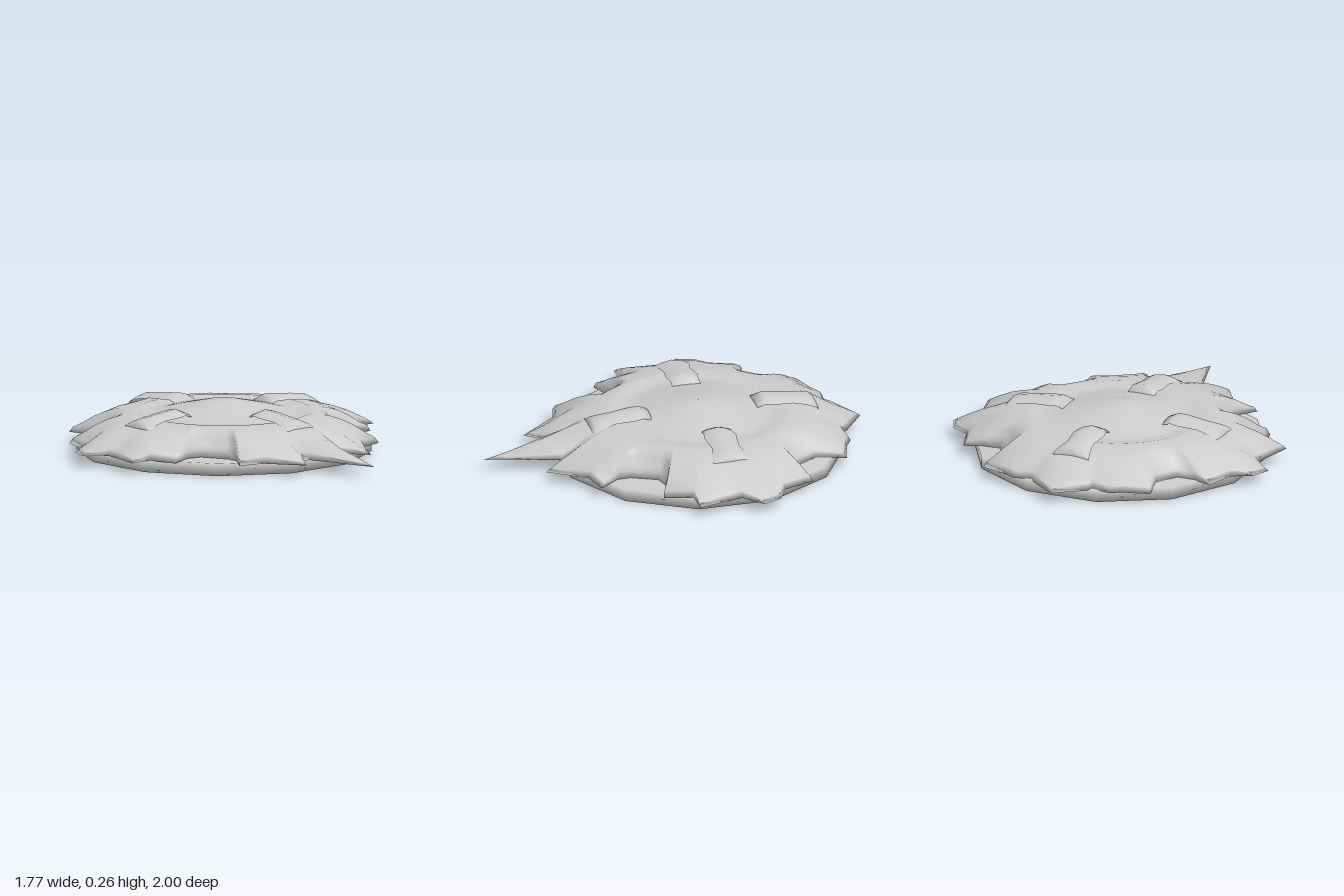
import * as THREE from 'three';
import { mergeVertices } from 'three/addons/utils/BufferGeometryUtils.js';

const material = new THREE.MeshStandardMaterial({ color: 0xcccccc, side: THREE.DoubleSide });
const CENTRE_Z = -0.14;

// Skins rows of [x, y, z] points; closed joins the last column to the first.
function skin(rows, closed, name) {
  const n = rows[0].length, index = [];
  for (let r = 0; r < rows.length - 1; r++) {
    for (let i = 0; i < (closed ? n : n - 1); i++) {
      const j = (i + 1) % n;
      const a = r * n + i, b = r * n + j, c = a + n, d = b + n;
      index.push(a, b, c, b, d, c);
    }
  }
  const geometry = new THREE.BufferGeometry();
  geometry.setAttribute('position', new THREE.Float32BufferAttribute(rows.flat(2), 3));
  geometry.setIndex(index);
  geometry.computeVertexNormals();
  const mesh = new THREE.Mesh(geometry, material);
  mesh.name = name;
  return mesh;
}

// Ragged shell: a low dome with a groove, flaring out to a spiky outline.
function createShell() {
  // Outline (x, z) of the +x half, from the back tip to the front spike.
  const half = [
    [0, -1], [0.15, -0.89], [0.17, -0.86], [0.27, -0.875], [0.33, -0.84], [0.47, -0.8],
    [0.43, -0.65], [0.5, -0.53], [0.6, -0.53], [0.69, -0.56], [0.745, -0.4], [0.84, -0.35],
    [0.885, -0.25], [0.785, -0.16], [0.8, -0.09], [0.84, 0.08], [0.72, 0.08], [0.68, 0.23],
    [0.55, 0.18], [0.47, 0.2], [0.41, 0.33], [0.41, 0.4], [0.485, 0.505], [0.35, 0.54],
    [0.225, 0.73], [0.14, 0.61], [0.105, 0.63], [0, 1],
  ];
  const mirrored = half.slice(1, -1).reverse().map(([x, z]) => [-x, z]);
  const polar = [...half, ...mirrored].map(([x, z]) => ({
    r: Math.hypot(x, z - CENTRE_Z), a: Math.atan2(z - CENTRE_Z, x),
  }));
  const point = (r, y, a) => [r * Math.cos(a), y, CENTRE_Z + r * Math.sin(a)];
  const ring = ([r, y]) => polar.map((p) => point(r, y, p.a));

  // Round middle: dome, groove and rim.
  const rows = [[0.001, 0.262], [0.08, 0.26], [0.28, 0.215], [0.35, 0.197], [0.4, 0.197],
    [0.45, 0.208], [0.48, 0.203]].map(ring);

  // Flare: long spikes run straight, short notches drop steeply at the edge.
  for (const t of [0.2, 0.4, 0.6, 0.8, 0.94, 1]) {
    rows.push(polar.map((p) => {
      const power = THREE.MathUtils.clamp(1.8 - (p.r - 0.88) * 2.4, 1.2, 2.6);
      const lip = t === 0.94 ? THREE.MathUtils.clamp((0.88 - p.r) * 0.15, 0, 0.02) : 0;
      return point(0.48 + (p.r - 0.48) * t, 0.203 - 0.141 * t ** power + lip, p.a);
    }));
  }
  // Flat underside
  rows.push(ring([0.5, 0.062]));
  return skin(rows, true, 'spikyShell');
}

// Saddle-shaped clamp lying along +z from the middle.
function createClamp() {
  // Distance from the middle, half width, height, drop at the edges
  const sections = [
    [0.28, 0.075, 0.232, 0.02], [0.325, 0.075, 0.252, 0.028], [0.37, 0.085, 0.247, 0.026],
    [0.47, 0.072, 0.236, 0.024], [0.54, 0.085, 0.226, 0.026], [0.575, 0.096, 0.219, 0.03],
    [0.597, 0.1, 0.202, 0.022],
  ];
  const rows = sections.map(([s, w, y, drop]) =>
    [1, 0.6, 0, -0.6, -1].map((k) => [k * w, y - drop * k * k, s]));
  // Both ends turn down into the shell.
  const ends = [rows[0], rows.at(-1)].map((row) => row.map(([x, , z]) => [x, 0.17, z]));
  return skin([ends[0], ...rows, ends[1]], false, 'clampStrip');
}

// Twelve-sided base plate with soft shading across its rims
function createBase() {
  const plate = new THREE.CylinderGeometry(0.757, 0.757, 0.065, 12);
  plate.deleteAttribute('normal');
  plate.deleteAttribute('uv');
  const geometry = mergeVertices(plate);
  geometry.computeVertexNormals();
  const base = new THREE.Mesh(geometry, material);
  base.name = 'basePlate';
  base.position.set(0, 0.0325, CENTRE_Z);
  base.rotation.y = Math.PI / 12;
  return base;
}

export function createModel() {
  const model = new THREE.Group();
  model.name = 'spikyDisc';
  model.add(createBase(), createShell());

  // Four clamps, a quarter turn apart
  ['front', 'left', 'back', 'right'].forEach((side, i) => {
    const clamp = createClamp();
    clamp.name = `${side}Clamp`;
    clamp.position.z = -0.154;
    clamp.rotation.y = i * Math.PI / 2;
    model.add(clamp);
  });
  return model;
}
